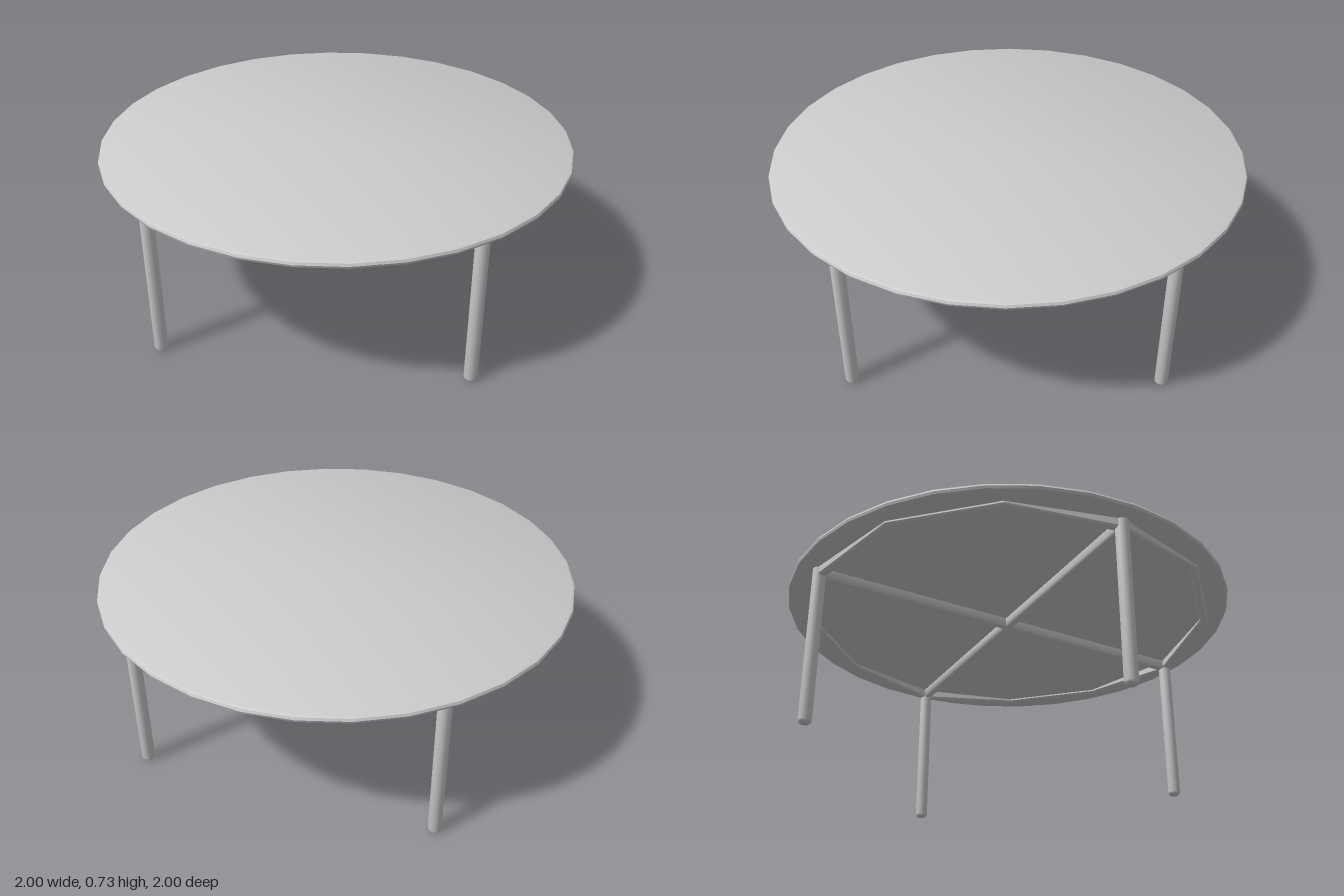
import * as THREE from 'three';
import { toCreasedNormals } from 'three/addons/utils/BufferGeometryUtils.js';

const TOP_UNDERSIDE = 0.7;
const LEG_RADIUS = 0.905; // distance of the legs from the centre
const material = new THREE.MeshStandardMaterial({ color: 0xcccccc });

function addMesh(parent, name, geometry, crease = 0.75) {
  const mesh = new THREE.Mesh(toCreasedNormals(geometry, crease), material);
  mesh.name = name;
  parent.add(mesh);
  return mesh;
}

function lathe(points, segments) {
  return new THREE.LatheGeometry(points.map(([x, y]) => new THREE.Vector2(x, y)), segments);
}

// Chamfered rail profile [offset across, height], from the tabletop down to "bottom"
function railProfile(bottom) {
  const top = TOP_UNDERSIDE + 0.002;
  const shoulder = bottom + Math.min(0.008, (top - bottom) * 0.4);
  return [[-0.019, top], [-0.019, shoulder], [-0.012, bottom],
    [0.012, bottom], [0.019, shoulder], [0.019, top]];
}

// Skin a row of cross-sections, each an array of [x, y, z]
function skin(sections) {
  const positions = [];
  for (let i = 0; i < sections.length - 1; i++) {
    const s = sections[i], t = sections[i + 1];
    for (let j = 0; j < s.length - 1; j++) {
      positions.push(...s[j], ...s[j + 1], ...t[j + 1], ...s[j], ...t[j + 1], ...t[j]);
    }
  }
  const geometry = new THREE.BufferGeometry();
  geometry.setAttribute('position', new THREE.Float32BufferAttribute(positions, 3));
  return geometry;
}

export function createModel() {
  const table = new THREE.Group();
  table.name = 'roundTable';

  // Thin disc with a rounded edge
  addMesh(table, 'tabletop', lathe([
    [0, 0.7], [0.985, 0.7], [0.996, 0.705], [1, 0.715],
    [0.996, 0.725], [0.985, 0.73], [0, 0.73],
  ], 32), 0.6);

  // Four round legs with softened feet
  for (let i = 0; i < 4; i++) {
    const angle = Math.PI / 4 + i * Math.PI / 2;
    const leg = addMesh(table, 'leg', lathe([
      [0, 0], [0.018, 0], [0.025, 0.006], [0.028, 0.015], [0.028, 0.702],
    ], 16));
    leg.position.set(LEG_RADIUS * Math.cos(angle), 0, LEG_RADIUS * Math.sin(angle));
  }

  // Two crossing rails that join opposite legs
  for (const angle of [Math.PI / 4, Math.PI * 3 / 4]) {
    const c = Math.cos(angle), s = Math.sin(angle);
    const sections = [-LEG_RADIUS, LEG_RADIUS].map((d) =>
      railProfile(0.66).map(([u, y]) => [d * c + u * s, y, d * s - u * c]));
    addMesh(table, 'crossRail', skin(sections));
  }

  // Twelve-sided rim rail, deepest at the legs and shallow between them
  const rim = [];
  for (let i = 0; i <= 12; i++) {
    const angle = Math.PI / 4 + i * Math.PI / 6;
    const profile = railProfile(i % 3 === 0 ? 0.66 : 0.687);
    rim.push(profile.map(([u, y]) =>
      [(LEG_RADIUS + u) * Math.cos(angle), y, (LEG_RADIUS + u) * Math.sin(angle)]));
  }
  addMesh(table, 'rimRail', skin(rim), 0.4);

  return table;
}
